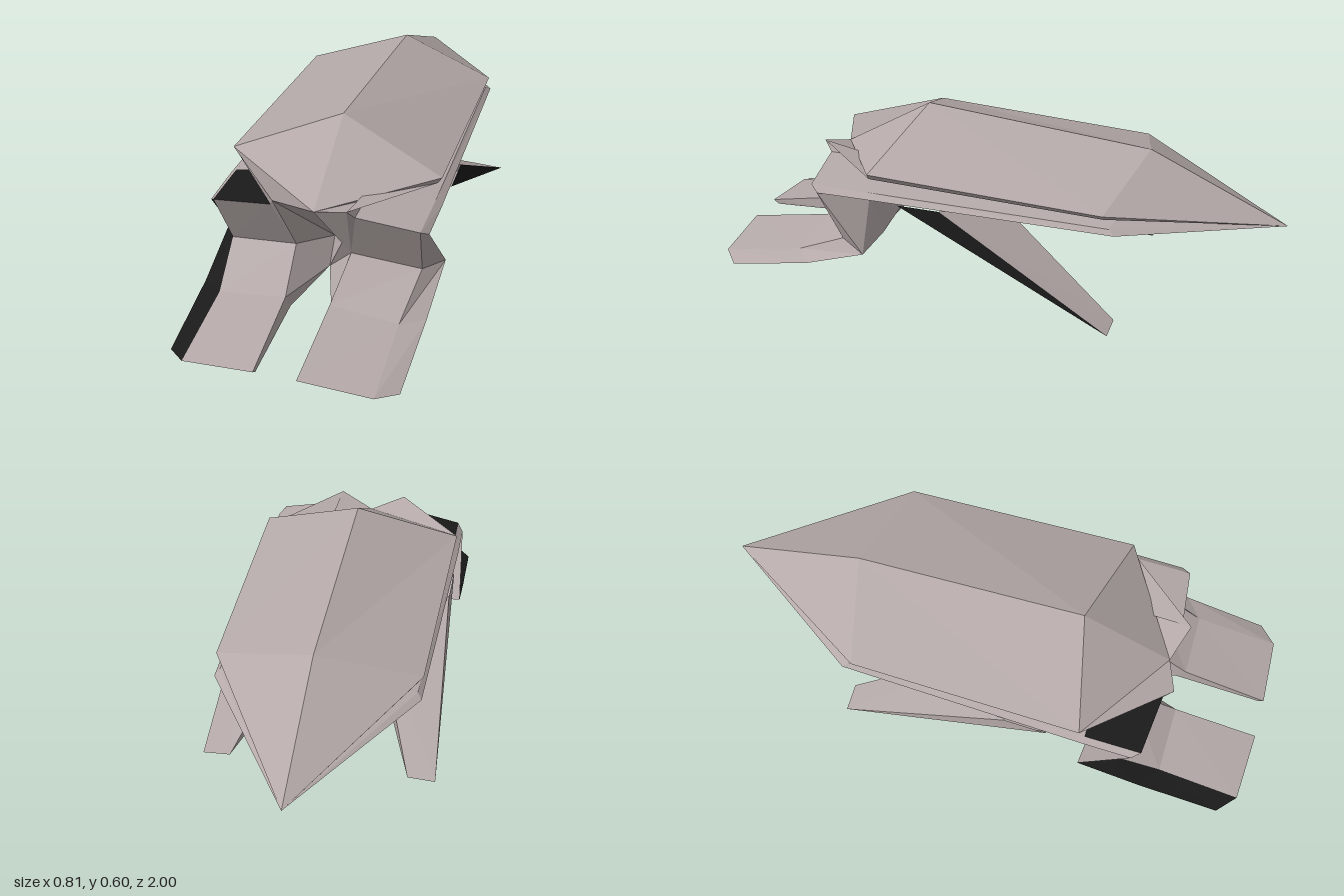
import * as THREE from 'three';

const hull = new THREE.MeshStandardMaterial({ color: 0xb4a9a8, side: THREE.DoubleSide, flatShading: true });
hull.name = 'warm grey hull';
const dark = new THREE.MeshStandardMaterial({ color: 0x1a1a1a, side: THREE.DoubleSide, flatShading: true });
dark.name = 'black trim';

// Flat-faced mesh from convex polygons, fanned into triangles
function facets(name, polys, material) {
  const pos = [];
  for (const p of polys)
    for (let i = 1; i < p.length - 1; i++) pos.push(...p[0], ...p[i], ...p[i + 1]);
  const g = new THREE.BufferGeometry();
  g.setAttribute('position', new THREE.Float32BufferAttribute(pos, 3));
  g.computeVertexNormals();
  const m = new THREE.Mesh(g, material);
  m.name = name;
  return m;
}

const mirror = polys => polys.map(p => p.map(([x, y, z]) => [-x, y, z]).reverse());

// One strip of quads, between columns j and k of successive cross-sections
const strip = (rings, j, k) =>
  rings.slice(1).map((r, i) => [rings[i][j], rings[i][k], r[k], r[j]]);
const strips = (rings, n) =>
  Array.from({ length: n }, (_, j) => strip(rings, j, (j + 1) % rings[0].length)).flat();

// Shared points of the left half
const nose = [0, 0.415, 0.61];
const collar = [0.122, 0.46, 0.65];
const shoulder = [0.14, 0.425, 0.62];
const shoulderOut = [0.345, 0.395, 0.6];
const shoulderEdge = [0.367, 0.375, 0.57];
const elbow = [0.095, 0.22, 0.52];
const keel = [0, 0.195, 0.4];
const throat = [0, 0.11, 0.46];
const tail = [0, 0.325, -1];

// Upper shell: ridge, rim, lip, groove
const shell = [
  [nose, nose, collar, shoulder],
  [[0, 0.605, 0.29], [0.36, 0.47, 0.38], [0.345, 0.448, 0.38], [0.14, 0.425, 0.4]],
  [[0, 0.54, -0.52], [0.345, 0.44, -0.44], [0.335, 0.425, -0.44], [0.14, 0.42, -0.48]],
  [tail, tail, tail, tail],
];

// Lower body: groove, deck edge, side edge, keel
const belly = [
  [shoulder, shoulderOut, shoulderEdge, keel],
  [[0.14, 0.425, 0.4], [0.345, 0.395, 0.4], [0.367, 0.378, 0.4], [0, 0.195, 0.38]],
  [[0.14, 0.42, -0.48], [0.33, 0.39, -0.46], [0.345, 0.375, -0.48], [0, 0.21, -0.48]],
  [tail, tail, tail, tail],
];

// Front limb from tip to shoulder: inner top, outer top, outer edge, bottom, inner bottom
const limb = [
  [[0.07, 0.065, 1], [0.31, 0.045, 0.99], [0.375, 0.03, 0.93], [0.16, 0.003, 0.93], [0.07, 0.05, 0.98]],
  [[0.075, 0.125, 0.69], [0.305, 0.1, 0.69], [0.38, 0.09, 0.63], [0.16, 0.035, 0.63], [0.07, 0.07, 0.66]],
  [elbow, [0.33, 0.19, 0.5], [0.385, 0.17, 0.4], [0.16, 0.14, 0.42], throat],
  [shoulder, shoulderOut, shoulderEdge, [0.2, 0.3, 0.45], keel],
];

// Rear fin corners
const finA = [0.367, 0.375, 0.27], finB = [0.365, 0.375, 0.12];
const finC = [0.05, 0.195, 0.2], finD = [0.12, 0.33, 0];
const tipOut = [0.405, 0.03, -0.485], tipIn = [0.31, 0.035, -0.485];

export function createModel() {
  const model = new THREE.Group();
  model.name = 'craft';

  for (const side of ['left', 'right']) {
    const right = side === 'right';
    const add = (part, polys, mat = hull) =>
      model.add(facets(side + part, right ? mirror(polys) : polys, mat));

    add('Shell', strips(shell, 3));

    // Deck front is black on the right only
    const deck = strip(belly, 0, 1);
    add('DeckFront', deck.slice(0, 1), right ? dark : hull);
    add('Deck', deck.slice(1));
    add('Belly', [...strip(belly, 1, 2), ...strip(belly, 2, 3)]);

    // Chest and throat between the limbs
    add('Chest', [
      [nose, keel, elbow, collar],
      [collar, elbow, shoulder],
      [keel, throat, elbow],
    ]);

    // Front limb, with a black bevel on the right
    add('Limb', [0, 2, 3, 4].flatMap(j => strip(limb, j, (j + 1) % 5)).concat([[...limb[0]].reverse()]));
    add('LimbBevel', strip(limb, 1, 2), right ? dark : hull);

    // Swept rear fin, with a black outer face on the left
    add('Fin', [
      [finB, tipOut, tipIn, finD],
      [finA, finC, tipIn, tipOut],
      [finC, finD, tipIn],
    ]);
    add('FinSide', [[finA, tipOut, finB]], right ? hull : dark);
  }
  return model;
}
